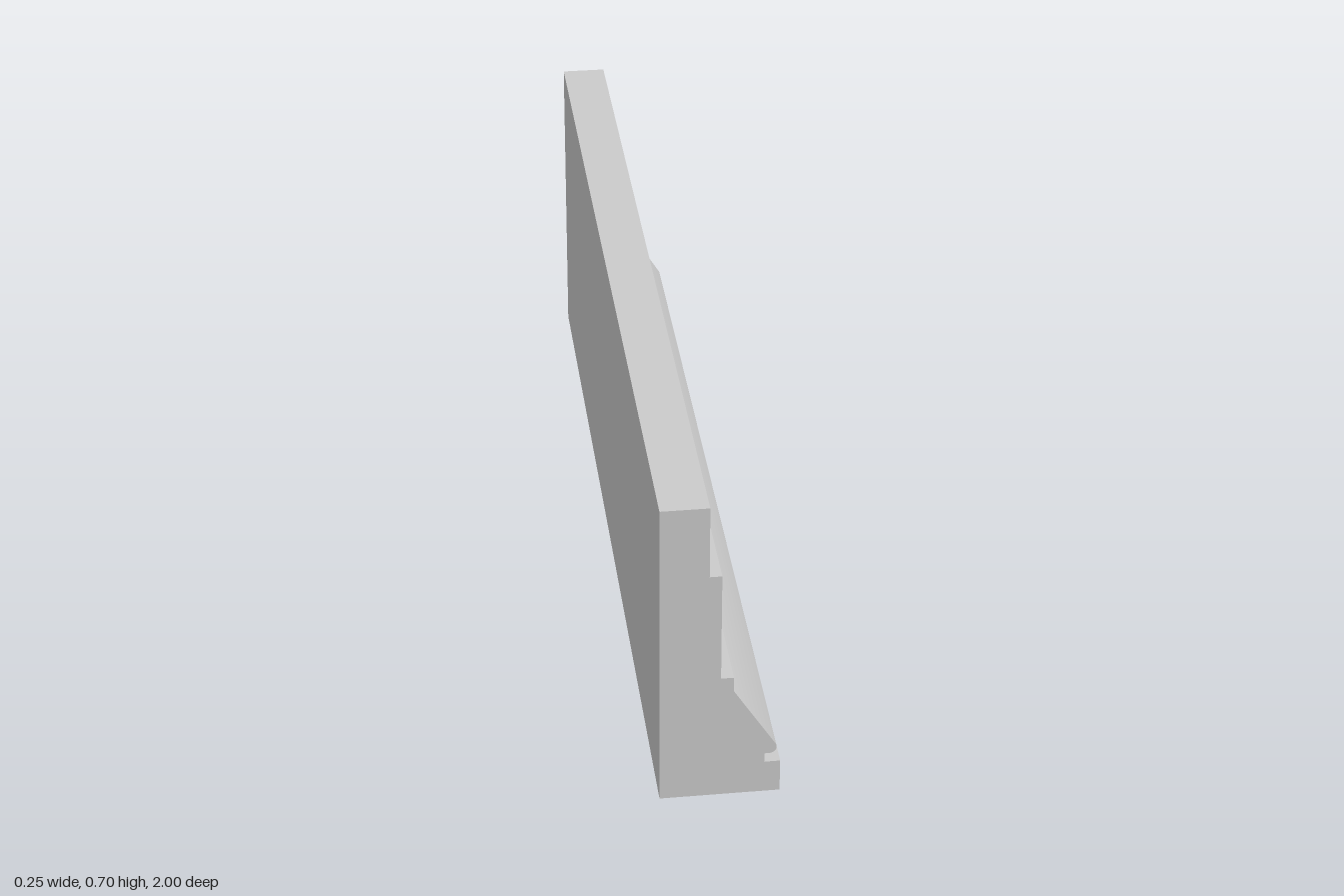
import * as THREE from 'three';
import { toCreasedNormals } from 'three/addons/utils/BufferGeometryUtils.js';

export function createModel() {
  const group = new THREE.Group();
  group.name = 'skirtingBoard';

  // Moulding cross-section: flat back, stepped face, sloped skirt and rounded nose
  const noseRadius = 0.015;
  const profile = new THREE.Shape();
  profile.moveTo(-0.124, 0);
  profile.lineTo(-0.124, 0.702);
  profile.lineTo(-0.025, 0.702);
  profile.lineTo(-0.025, 0.541);
  profile.lineTo(0, 0.541);
  profile.lineTo(0, 0.293);
  profile.lineTo(0.026, 0.293);
  profile.lineTo(0.026, 0.26);
  // Slope runs tangent into the nose, which curls under to the groove
  profile.absarc(0.101, 0.1115, noseRadius, 0.558, -Math.PI / 2, true);
  profile.lineTo(0.091, 0.0965);
  profile.lineTo(0.091, 0.075);
  profile.lineTo(0.124, 0.075);
  profile.lineTo(0.124, 0);
  profile.closePath();

  // Run the section along the full length
  const length = 2;
  const extruded = new THREE.ExtrudeGeometry(profile, {
    depth: length, bevelEnabled: false, curveSegments: 14,
  });
  extruded.translate(0, 0, -length / 2);

  const moulding = new THREE.Mesh(
    toCreasedNormals(extruded, Math.PI / 7),
    new THREE.MeshStandardMaterial({ color: 0xcccccc }),
  );
  moulding.name = 'moulding';
  group.add(moulding);
  return group;
}
